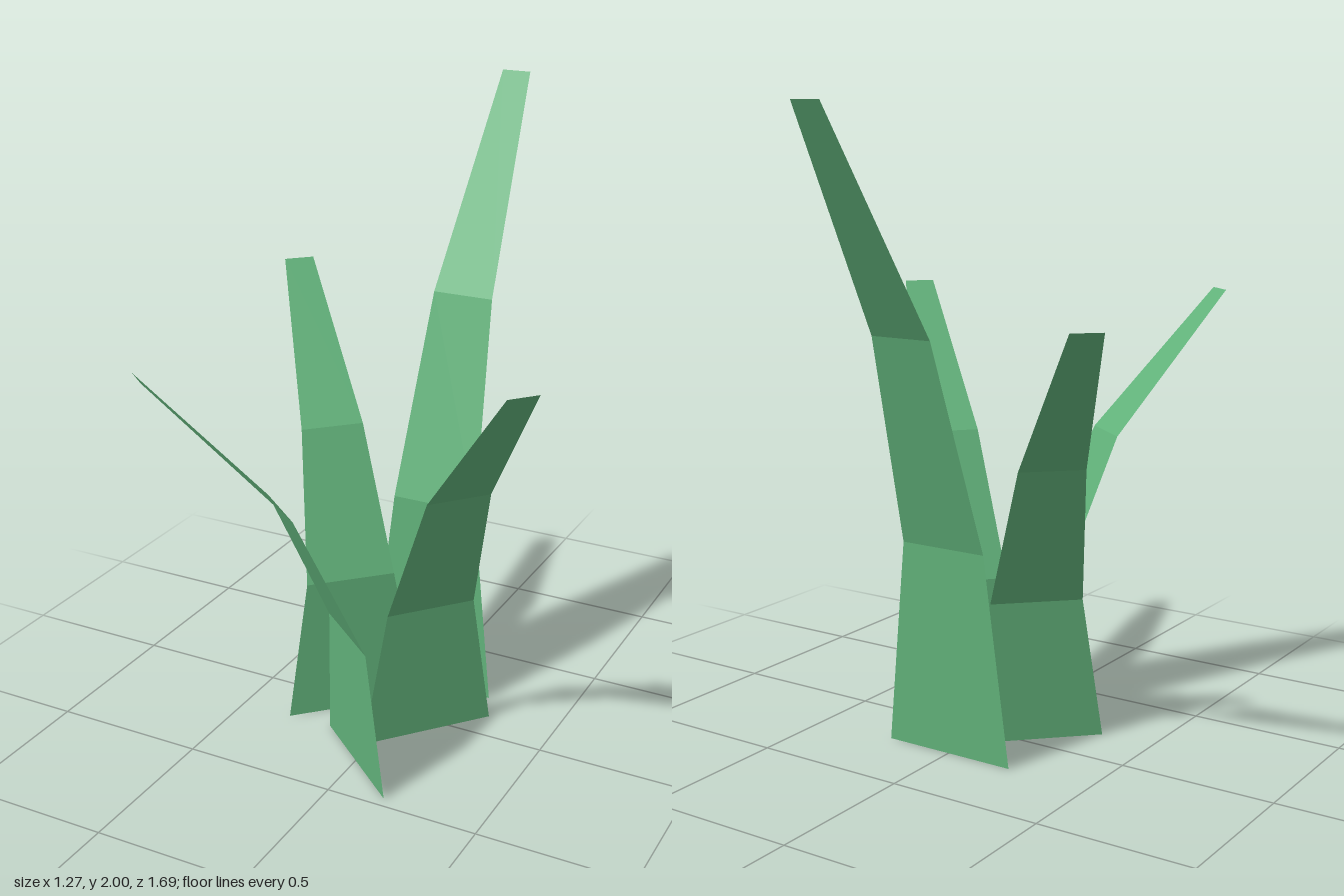
import * as THREE from 'three';

// Cross-sections of a blade from base to tip: half width, height, outward lean
const ROWS = [
  [0.224, 0, 0],
  [0.148, 0.667, 0.025],
  [0.104, 1.333, 0.228],
  [0.049, 2, 0.629],
];

// Blade roots: x, z, outward direction, height scale
const BLADES = [
  { name: 'backBlade', x: 0, z: -0.218, dir: [0, -1], height: 1 },
  { name: 'frontBlade', x: 0.002, z: 0.322, dir: [-0.4, 0.488], height: 0.695 },
  { name: 'leftBlade', x: 0.125, z: 0.058, dir: [0.473, 0.41], height: 0.695 },
  { name: 'rightBlade', x: -0.161, z: 0.03, dir: [-0.44, -0.45], height: 0.695 },
];

// A one-sheet strip of three flat panels, leaning toward +z
function bladeGeometry(height) {
  const plane = new THREE.PlaneGeometry(2, 1, 1, ROWS.length - 1);
  const pos = plane.attributes.position;
  for (let i = 0; i < pos.count; i++) {
    const row = Math.round((pos.getY(i) + 0.5) * (ROWS.length - 1));
    const [halfWidth, y, lean] = ROWS[row];
    pos.setXYZ(i, Math.sign(pos.getX(i)) * halfWidth, y * height, lean);
  }
  const flat = plane.toNonIndexed(); // separate panels keep the folds crisp
  flat.computeVertexNormals();
  return flat;
}

export function createModel() {
  const group = new THREE.Group();
  group.name = 'grassTuft';
  const leafGreen = new THREE.MeshStandardMaterial({ color: 0x62b37b, side: THREE.DoubleSide });
  leafGreen.name = 'leaf green';

  for (const { name, x, z, dir, height } of BLADES) {
    const blade = new THREE.Mesh(bladeGeometry(height), leafGreen);
    blade.name = name;
    blade.position.set(x, 0, z);
    blade.rotation.y = Math.atan2(dir[0], dir[1]);
    group.add(blade);
  }
  return group;
}
